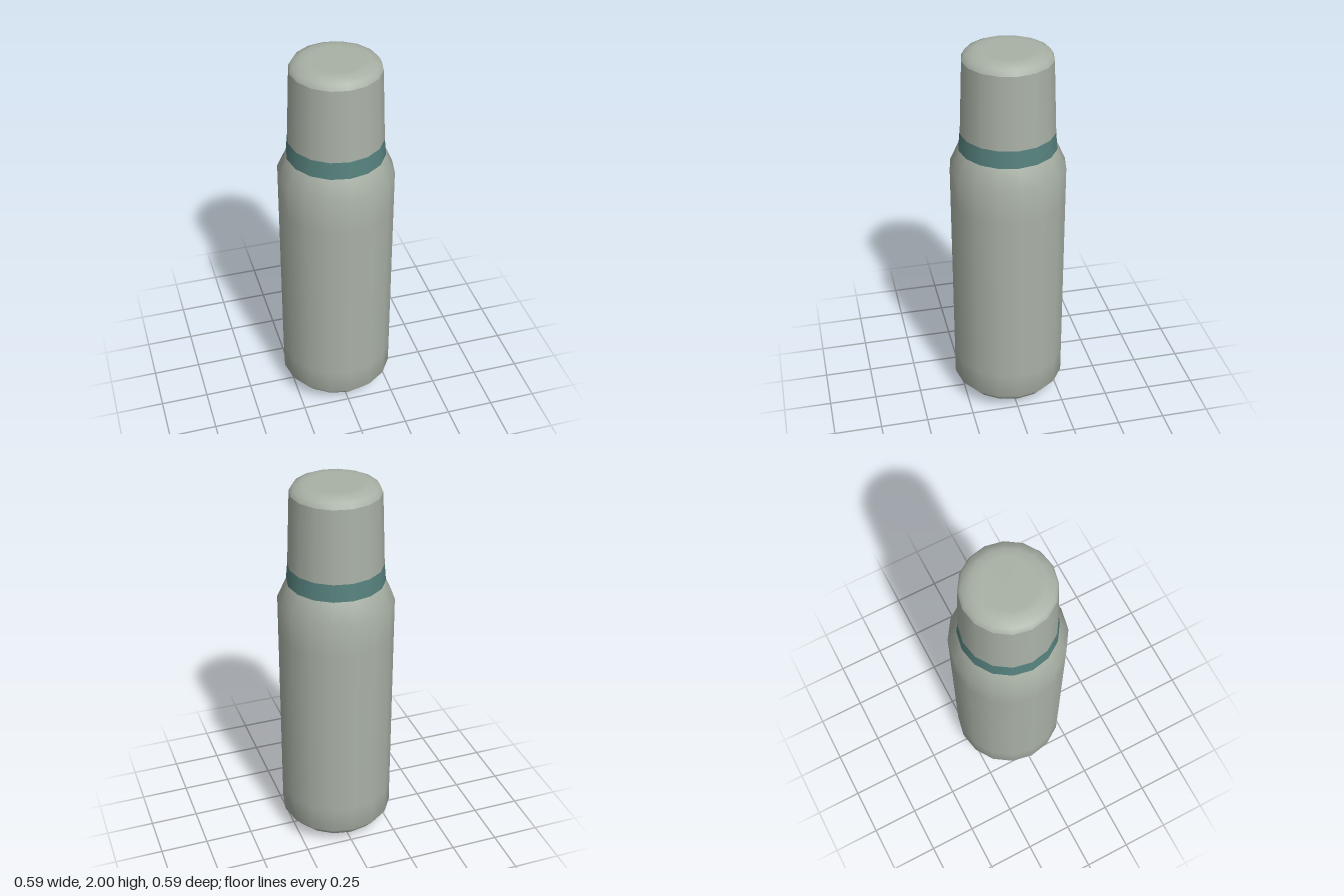
import * as THREE from 'three';

const SIDES = 16;

export function createModel() {
  const bottle = new THREE.Group();
  bottle.name = 'bottle';

  const grey = new THREE.MeshStandardMaterial({ color: 0xa9b1a6 });
  grey.name = 'sage grey';
  const teal = new THREE.MeshStandardMaterial({ color: 0x56817d });
  teal.name = 'muted teal';

  // Turns a profile of [radius, height] points into a named part
  function turn(name, profile, material) {
    const points = profile.map(([r, y]) => new THREE.Vector2(r, y));
    const mesh = new THREE.Mesh(new THREE.LatheGeometry(points, SIDES), material);
    mesh.name = name;
    bottle.add(mesh);
  }

  // Body with a rounded base, a small vent hole below and a sloping shoulder
  turn('body', [
    [0.02, 0], [0.175, 0.025], [0.25, 0.055], [0.297, 0.11],
    [0.297, 0.25], [0.297, 1.2], [0.297, 1.38], [0.25, 1.485],
  ], grey);

  // Coloured ring between body and cap
  turn('neckBand', [[0.25, 1.485], [0.242, 1.575]], teal);

  // Tapered cap with a crisp rim and a softly rounded top
  turn('capSide', [[0.242, 1.575], [0.227, 1.955]], grey);
  turn('capTop', [[0.227, 1.955], [0.212, 1.982], [0.17, 2], [0.13, 2], [0, 2]], grey);

  return bottle;
}
